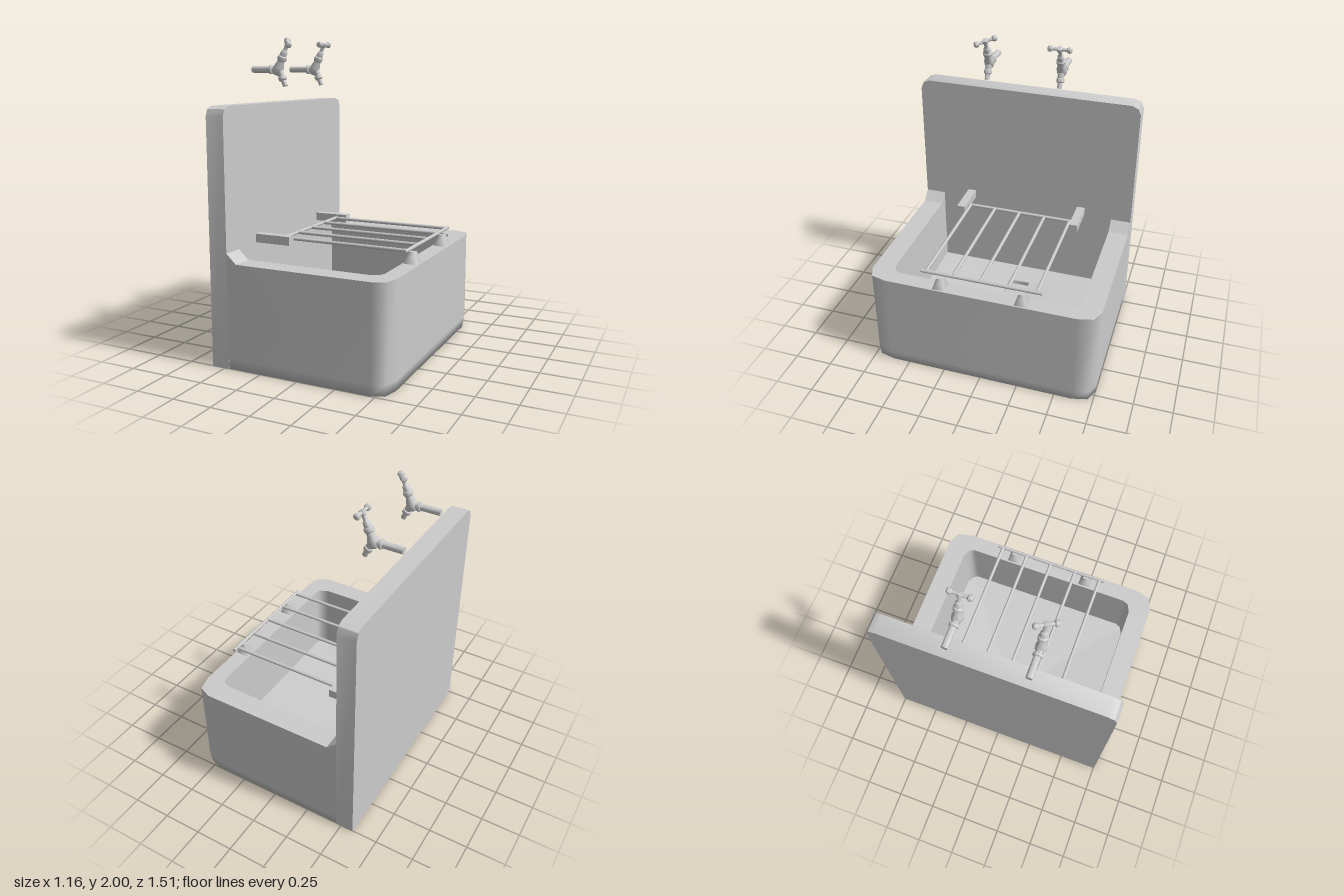
import * as THREE from 'three';
import { mergeGeometries, toCreasedNormals } from 'three/addons/utils/BufferGeometryUtils.js';

const material = new THREE.MeshStandardMaterial({ color: 0xcccccc });

function add(parent, name, geometry, x = 0, y = 0, z = 0) {
  const mesh = new THREE.Mesh(geometry, material);
  mesh.name = name;
  mesh.position.set(x, y, z);
  parent.add(mesh);
  return mesh;
}

// Turned part whose axis points along dir; profile is [radius, distance] pairs
function turned(parent, name, profile, position, dir) {
  const points = profile.map(([r, t]) => new THREE.Vector2(r, t));
  const geometry = toCreasedNormals(new THREE.LatheGeometry(points, 14), 0.7);
  const mesh = add(parent, name, geometry, ...position);
  mesh.quaternion.setFromUnitVectors(new THREE.Vector3(0, 1, 0), dir.clone().normalize());
  return mesh;
}

// Skin between rows of matching points; each row is { outline: [[x, z]...], y }
function loft(rows, closed = false) {
  const n = rows[0].outline.length;
  const positions = rows.flatMap(({ outline, y }) => outline.flatMap(([x, z]) => [x, y, z]));
  const index = [];
  for (let r = 0; r < rows.length - 1; r++) {
    for (let i = 0; i < (closed ? n : n - 1); i++) {
      const j = (i + 1) % n;
      const a = r * n + i, b = r * n + j, c = b + n, d = a + n;
      index.push(a, b, c, a, c, d);
    }
  }
  const geometry = new THREE.BufferGeometry();
  geometry.setAttribute('position', new THREE.Float32BufferAttribute(positions, 3));
  geometry.setIndex(index);
  geometry.computeVertexNormals();
  return geometry;
}

// Completes a half outline with its mirror image in z
const mirrored = (half) => [...half, ...half.map(([x, z]) => [x, -z]).reverse()];

function basinGeometry() {
  const outer = mirrored([[-0.465, 0.755], [0.475, 0.755], [0.555, 0.72], [0.58, 0.62]]);
  const inner = mirrored([[-0.465, 0.62], [0.41, 0.62], [0.46, 0.595], [0.475, 0.56]]);
  const drain = mirrored([[-0.33, 0.075], [-0.18, 0.075], [-0.18, 0.075], [-0.18, 0.075]]);
  const centre = outer.map(() => [-0.465, 0]);
  const drainCentre = outer.map(() => [-0.255, 0]);
  const base = outer.map(([x, z]) => [x > 0 ? x - 0.008 : x, z * 0.993]);
  const row = (outline, y) => ({ outline, y });
  return mergeGeometries([
    loft([row(centre, 0), row(base, 0), row(outer, 0.07), row(outer, 0.66)]), // underside and outer wall
    loft([row(outer, 0.66), row(inner, 0.66)]), // rim
    loft([row(inner, 0.66), row(inner, 0.18)]), // inner wall
    loft([row(inner, 0.18), row(drain, 0.14)], true), // floor falling to the drain
    loft([row(drain, 0.14), row(drain, 0.11)], true), // drain sides
    loft([row(drain, 0.11), row(drainCentre, 0.11)], true), // drain bottom
  ]);
}

function splashbackGeometry() {
  const shape = new THREE.Shape([
    [-0.755, 0], [0.755, 0], [0.755, 1.53], [0.737, 1.573], [0.695, 1.59],
    [-0.695, 1.59], [-0.737, 1.573], [-0.755, 1.53],
  ].map(([z, y]) => new THREE.Vector2(z, y)));
  const geometry = new THREE.ExtrudeGeometry(shape, { depth: 0.12, bevelEnabled: false });
  geometry.rotateY(Math.PI / 2).translate(-0.585, 0, 0);
  return toCreasedNormals(geometry, 0.7);
}

function createRack() {
  const rack = new THREE.Group();
  rack.name = 'drainingRack';
  const y = 0.755;
  for (let i = 0; i < 5; i++) {
    const bar = add(rack, 'rackBar', new THREE.CylinderGeometry(0.011, 0.011, 0.82, 10), 0.11, y, -0.36 + i * 0.179);
    bar.rotation.z = Math.PI / 2;
  }
  for (const [x, length] of [[-0.304, 0.76], [0.526, 0.785]]) {
    const rail = add(rack, 'rackRail', new THREE.CylinderGeometry(0.011, 0.011, length, 10), x, y, -0.002);
    rail.rotation.x = Math.PI / 2;
  }
  for (const side of [-1, 1]) {
    add(rack, 'rackBracket', new THREE.BoxGeometry(0.24, 0.055, 0.056), -0.345, 0.752, side * 0.403);
    const foot = new THREE.CylinderGeometry(0.027, 0.059, 0.07, 4).rotateY(Math.PI / 4);
    add(rack, 'rackFoot', foot, 0.528, 0.695, side * 0.266 - 0.004);
  }
  return rack;
}

function createTap(z, turn) {
  const tap = new THREE.Group();
  tap.name = 'tap';
  tap.position.set(-0.4, 1.8, z);
  const axis = new THREE.Vector3(0.41, 0.91, 0).normalize();
  // Supply pipe with a collar
  turned(tap, 'supplyPipe', [[0, 0], [0.021, 0], [0.021, 0.125], [0.03, 0.13], [0.03, 0.145], [0.021, 0.15], [0.021, 0.185]],
    [-0.185, 0, 0], new THREE.Vector3(1, 0, 0));
  // Valve body and stem
  turned(tap, 'valveBody', [
    [0, -0.04], [0.022, -0.035], [0.033, -0.012], [0.033, 0.015], [0.024, 0.045], [0.024, 0.06], [0.03, 0.066],
    [0.03, 0.085], [0.023, 0.092], [0.021, 0.12], [0.013, 0.13], [0.013, 0.162], [0.019, 0.167], [0.019, 0.19], [0, 0.196],
  ], [0, 0, 0], axis);
  // Spout
  turned(tap, 'spout', [
    [0.024, 0], [0.02, 0.045], [0.026, 0.05], [0.026, 0.07], [0.016, 0.075], [0.016, 0.112], [0.011, 0.112], [0.011, 0.09], [0, 0.09],
  ], [0.008, 0, 0], new THREE.Vector3(0.4, -0.92, 0));
  // Handle bar with rounded ends, turned about the stem
  const end = [[0.01, 0.02], [0.011, 0.044], [0.019, 0.051], [0.02, 0.067], [0.013, 0.076], [0, 0.078]];
  const bar = [...end.map(([r, t]) => [r, -t]).reverse(), ...end];
  const handle = new THREE.Vector3(0, 0, 1).applyAxisAngle(axis, turn);
  turned(tap, 'tapHandle', bar, axis.clone().multiplyScalar(0.18).toArray(), handle);
  return tap;
}

export function createModel() {
  const model = new THREE.Group();
  model.name = 'sink';
  add(model, 'basin', basinGeometry());
  add(model, 'splashback', splashbackGeometry());

  // Sloped shoulders where the rim meets the splashback
  const wedge = new THREE.Shape([[-0.465, 0.66], [-0.4, 0.66], [-0.465, 0.72]].map(([x, y]) => new THREE.Vector2(x, y)));
  for (const z of [-0.755, 0.62]) {
    add(model, 'shoulder', new THREE.ExtrudeGeometry(wedge, { depth: 0.135, bevelEnabled: false }), 0, 0, z);
  }

  model.add(createRack());
  model.add(createTap(-0.243, 0));
  model.add(createTap(0.238, 0.63));
  return model;
}
